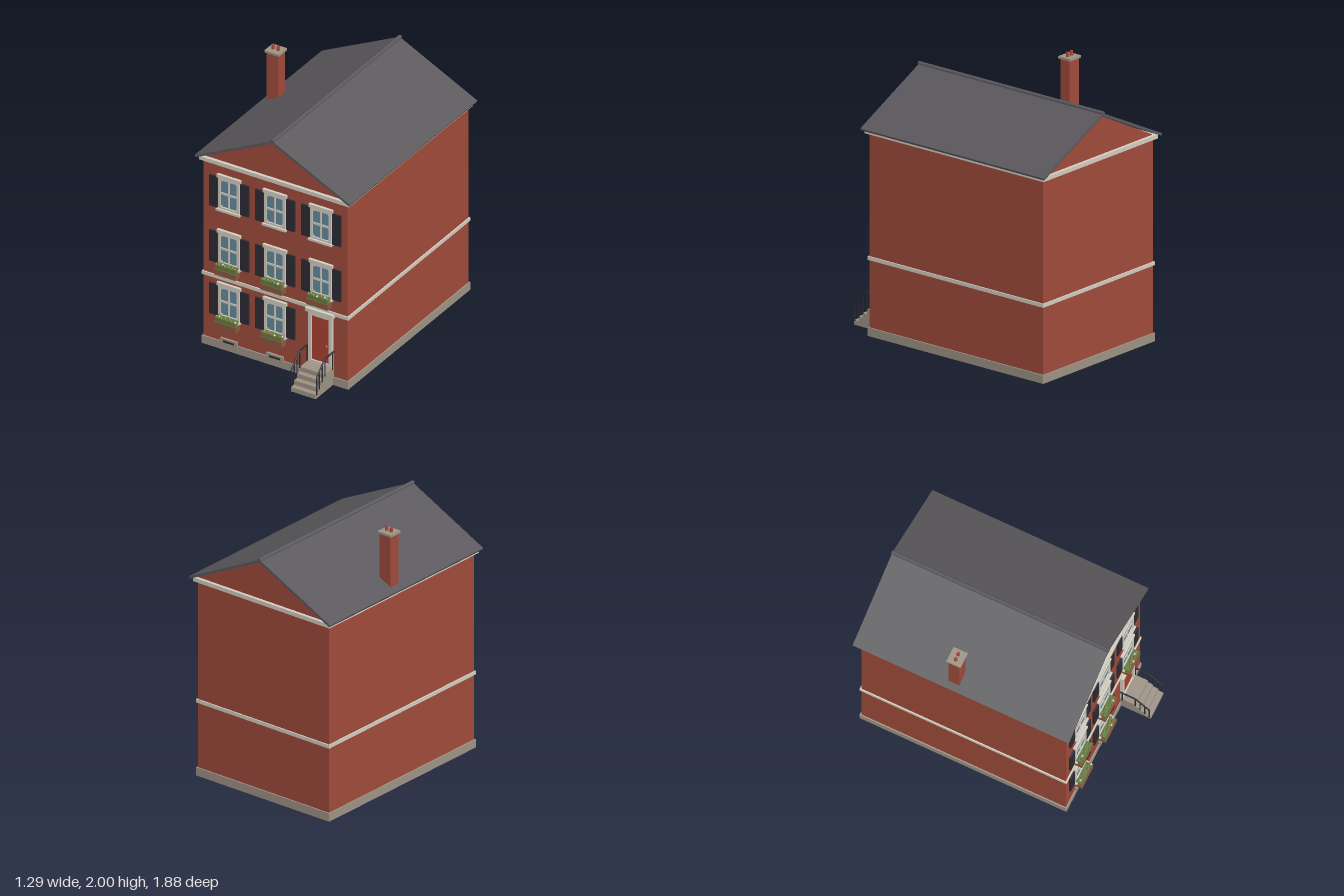
import * as THREE from 'three';

const COLORS = {
  brick: 0x9f4a3a, stone: 0x9d9284, trim: 0xd2ccc0, slate: 0x5a585c, charcoal: 0x2a2b33,
  glass: 0x638a9c, planterWood: 0x87593d, foliage: 0x647a3c, doorRed: 0xa8402f, brass: 0xb08a3c,
};

export function createModel() {
  const house = new THREE.Group();
  house.name = 'townhouse';
  const M = {};
  for (const [name, color] of Object.entries(COLORS)) {
    M[name] = new THREE.MeshStandardMaterial({ color });
    M[name].name = name;
  }

  const add = (parent, name, geo, mat) => {
    const mesh = new THREE.Mesh(geo, M[mat]);
    mesh.name = name;
    parent.add(mesh);
    return mesh;
  };
  // Box given by its extents on each axis
  const box = (parent, name, mat, x0, x1, y0, y1, z0, z1) => {
    const mesh = add(parent, name, new THREE.BoxGeometry(x1 - x0, y1 - y0, z1 - z0), mat);
    mesh.position.set((x0 + x1) / 2, (y0 + y1) / 2, (z0 + z1) / 2);
    return mesh;
  };
  // Profile in x/y pushed along z
  const prism = (name, mat, pts, z0, z1) => {
    const shape = new THREE.Shape(pts.map(([x, y]) => new THREE.Vector2(x, y)));
    const geo = new THREE.ExtrudeGeometry(shape, { depth: z1 - z0, bevelEnabled: false });
    add(house, name, geo.translate(0, 0, z0), mat);
  };
  const group = (name, x = 0, y = 0, z = 0) => {
    const g = new THREE.Group();
    g.name = name;
    g.position.set(x, y, z);
    house.add(g);
    return g;
  };
  const rod = (parent, name, a, b, r) => {
    const path = new THREE.LineCurve3(new THREE.Vector3(...a), new THREE.Vector3(...b));
    return add(parent, name, new THREE.TubeGeometry(path, 1, r, 8), 'charcoal');
  };

  // Walls and horizontal bands
  box(house, 'walls', 'brick', -0.595, 0.595, 0.01, 1.51, -0.89, 0.7);
  box(house, 'plinth', 'stone', -0.605, 0.605, 0, 0.063, -0.9, 0.71);
  box(house, 'beltCourse', 'trim', -0.605, 0.605, 0.563, 0.59, -0.9, 0.71);
  box(house, 'cornice', 'trim', -0.62, 0.62, 1.5, 1.53, -0.915, 0.725);

  // Gables and roof
  prism('gables', 'brick', [[-0.595, 1.53], [0.595, 1.53], [0, 1.832]], -0.89, 0.7);
  prism('roof', 'slate', [
    [-0.635, 1.521], [0, 1.832], [0.635, 1.521], [0.643, 1.537], [0, 1.854], [-0.643, 1.537],
  ], -0.935, 0.745);
  const ridge = add(house, 'ridgeCap', new THREE.CylinderGeometry(0.016, 0.016, 1.69, 8), 'slate');
  ridge.rotation.x = Math.PI / 2;
  ridge.position.set(0, 1.852, -0.095);

  // Chimney
  const chimney = group('chimney', -0.545, 0, -0.17);
  box(chimney, 'chimneyStack', 'brick', -0.05, 0.05, 1.53, 1.95, -0.043, 0.043);
  box(chimney, 'chimneyCap', 'stone', -0.06, 0.06, 1.95, 1.967, -0.055, 0.055);
  for (const x of [-0.021, 0.021]) {
    add(chimney, 'chimneyPot', new THREE.CylinderGeometry(0.011, 0.013, 0.033, 12), 'brick')
      .position.set(x, 1.9835, 0);
  }

  // Window with frame, glazing bars and shutters; y = 0 is the shutter base
  const addWindow = (x, y) => {
    const w = group('window', x, y, 0.7);
    box(w, 'glassPane', 'glass', -0.072, 0.072, 0.012, 0.24, 0, 0.006);
    for (const s of [-1, 1]) {
      const at = (name, mat, a, b, y0, y1, z1) =>
        box(w, name, mat, Math.min(s * a, s * b), Math.max(s * a, s * b), y0, y1, 0, z1);
      at('frameSide', 'trim', 0.068, 0.088, 0, 0.255, 0.016);
      at('shutter', 'charcoal', 0.092, 0.162, 0, 0.25, 0.014);
      for (const cy of [0.022, 0.228]) {
        box(w, 'cornerBlock', 'trim', s * 0.063 - 0.006, s * 0.063 + 0.006, cy - 0.006, cy + 0.006, 0, 0.011);
      }
    }
    box(w, 'frameTop', 'trim', -0.07, 0.07, 0.235, 0.255, 0, 0.016);
    box(w, 'frameBottom', 'trim', -0.07, 0.07, 0, 0.018, 0, 0.016);
    box(w, 'verticalBar', 'trim', -0.007, 0.007, 0.015, 0.238, 0, 0.011);
    box(w, 'horizontalBar', 'trim', -0.07, 0.07, 0.118, 0.134, 0, 0.012);
    box(w, 'lintel', 'trim', -0.097, 0.097, 0.252, 0.278, 0, 0.022);
    box(w, 'sill', 'trim', -0.097, 0.097, -0.014, 0.003, 0, 0.03);
  };

  // Planter with a clipped hedge and scattered flowers
  const addPlanter = (x, y, seed) => {
    const p = group('planter', x, y, 0.7);
    box(p, 'planterBox', 'planterWood', -0.09, 0.09, -0.065, -0.02, 0.008, 0.066);
    box(p, 'hedge', 'foliage', -0.083, 0.083, -0.02, 0.014, 0.012, 0.06);
    for (let i = 0; i < 6; i++) {
      const k = (i * 5 + seed * 3) % 7;
      const px = -0.07 + i * 0.028;
      const pz = 0.024 + k * 0.004;
      add(p, 'leafTuft', new THREE.IcosahedronGeometry(0.013, 0), 'foliage').position.set(px, 0.012, pz);
      if (k % 2 === 0) {
        add(p, 'flower', new THREE.IcosahedronGeometry(0.009, 0), k % 4 ? 'doorRed' : 'trim')
          .position.set(px + 0.01, 0.016, pz + 0.016);
      }
    }
  };

  [0.265, 0.695, 1.145].forEach((y, floor) => {
    [-0.38, 0, 0.38].forEach((x, i) => {
      if (floor === 0 && i === 2) return; // door bay
      addWindow(x, y);
      if (floor < 2) addPlanter(x, y, floor * 3 + i);
    });
  });

  // Front door
  const door = group('frontDoor', 0.378, 0, 0.7);
  box(door, 'doorPanel', 'doorRed', -0.075, 0.075, 0.155, 0.525, 0, 0.01);
  for (const s of [-1, 1]) {
    box(door, 'doorJamb', 'trim', s * 0.085 - 0.0125, s * 0.085 + 0.0125, 0.14, 0.552, 0, 0.02);
  }
  box(door, 'doorHead', 'trim', -0.08, 0.08, 0.52, 0.552, 0, 0.02);
  box(door, 'threshold', 'trim', -0.08, 0.08, 0.14, 0.16, 0, 0.02);
  box(door, 'doorLintel', 'trim', -0.115, 0.115, 0.55, 0.577, 0, 0.035);
  add(door, 'doorKnob', new THREE.SphereGeometry(0.007, 12, 8), 'brass').position.set(0.052, 0.3, 0.016);

  // Entrance steps
  const steps = group('steps', 0.378);
  [0.94, 0.9, 0.86, 0.82].forEach((z, i) => {
    box(steps, 'step', 'stone', -0.102, 0.102, i * 0.035, (i + 1) * 0.035, 0.7, z);
  });

  // Iron railings on both sides of the steps
  for (const s of [-1, 1]) {
    const rail = group('railing', 0.378 + s * 0.104);
    const posts = [[0.93, 0.03, 0.17], [0.893, 0.06, 0.204], [0.857, 0.1, 0.237], [0.82, 0.13, 0.27], [0.72, 0.13, 0.27]];
    for (const [z, y0, y1] of posts) rod(rail, 'railPost', [0, y0, z], [0, y1, z], 0.005);
    rod(rail, 'slopedHandrail', [0, 0.167, 0.933], [0, 0.27, 0.82], 0.006);
    rod(rail, 'levelHandrail', [0, 0.27, 0.823], [0, 0.27, 0.702], 0.006);
  }

  // Basement vents
  for (const x of [-0.38, 0]) {
    const vent = group('basementVent', x, 0, 0.7);
    box(vent, 'ventSurround', 'stone', -0.07, 0.07, 0.028, 0.095, 0, 0.016);
    box(vent, 'ventSlot', 'charcoal', -0.045, 0.045, 0.066, 0.081, 0.014, 0.019);
  }

  return house;
}
